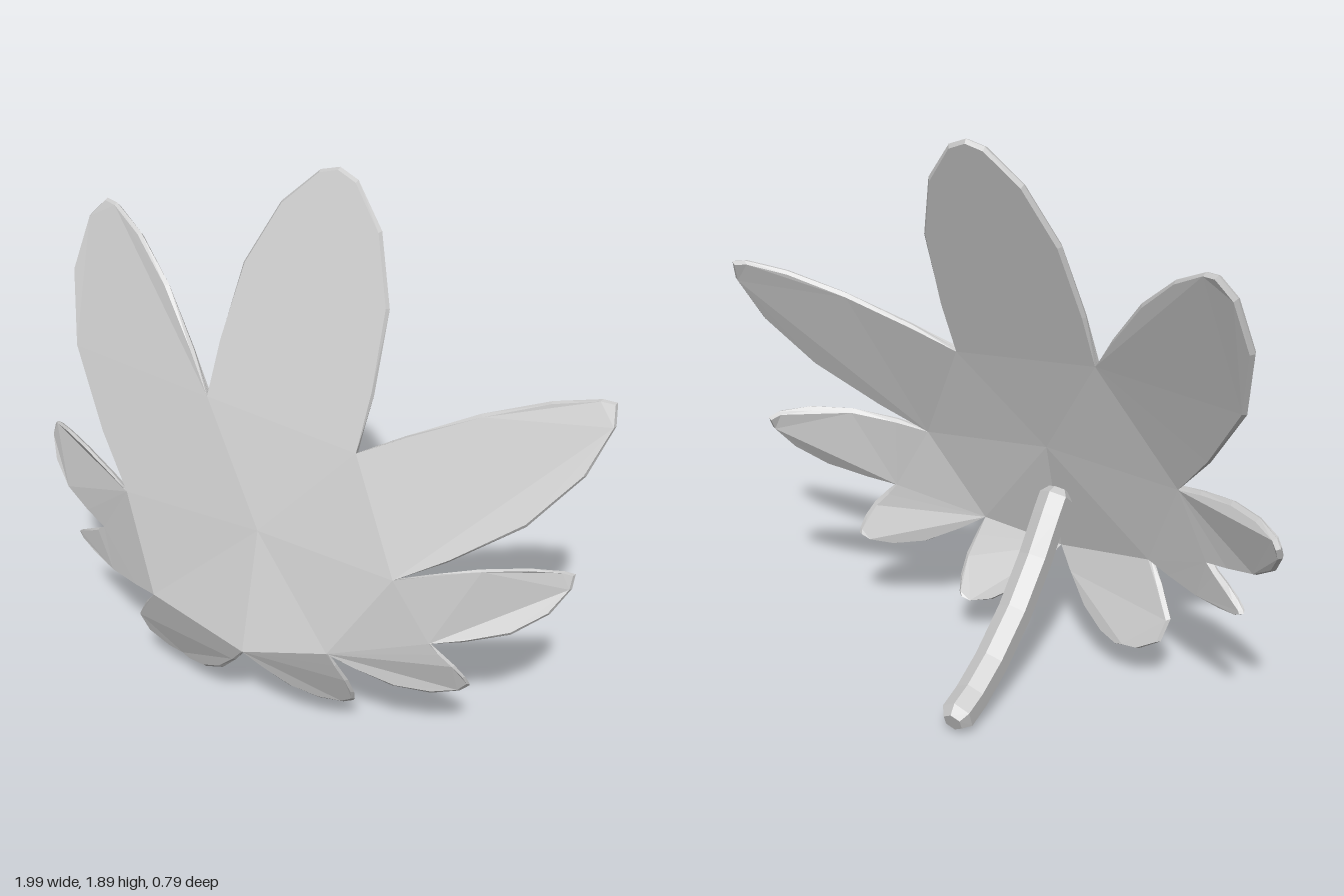
import * as THREE from 'three';

const THICK = 0.024;
const BEVEL = 0.01;

// Front vertex -> vertex lower in the leaf, along the leaf's rough normal
function sink([x, y, z], depth = THICK) {
  const n = new THREE.Vector3(0.5 * x, 0.38, 0.9).normalize().multiplyScalar(depth);
  return [x - n.x, y - n.y, z - n.z];
}

// Unshared corners give flat facets
function meshFrom(name, triangles, material) {
  const geometry = new THREE.BufferGeometry();
  geometry.setAttribute('position', new THREE.Float32BufferAttribute(triangles.flat(2), 3));
  geometry.computeVertexNormals();
  const mesh = new THREE.Mesh(geometry, material);
  mesh.name = name;
  return mesh;
}

// Notches between lobes, counter-clockwise from the bottom
const notches = [
  [-0.03, 0.37, 0.39], [0.25, 0.43, 0.335], [0.56, 0.52, 0.235],
  [0.44, 0.74, 0.26], [0.26, 1.1, 0.17], [-0.27, 1.15, 0.17],
  [-0.54, 0.75, 0.255], [-0.67, 0.54, 0.215], [-0.4, 0.43, 0.335],
];
const centre = [-0.03, 0.78, 0.278];

// Each lobe: name, tip, how far its two edges bulge out from straight, forward arch
const lobes = [
  ['lowerLeftLobe', [0.28, 0.155, 0.21], 0.066, 0.03, 0.01],
  ['smallLeftLobe', [0.67, 0.33, 0.15], 0.066, 0.028, 0.02],
  ['middleLeftLobe', [0.94, 0.77, 0], 0.082, 0.047, 0.035],
  ['upperLeftLobe', [0.99, 1.355, -0.09], 0.122, 0.048, 0.01],
  ['topLobe', [0.05, 1.9, -0.1], 0.135, 0.12, 0],
  ['upperRightLobe', [-0.8, 1.61, -0.09], 0.07, 0.175, 0.01],
  ['middleRightLobe', [-1, 0.75, 0.01], 0.05, 0.078, 0.03],
  ['smallRightLobe', [-0.835, 0.425, 0.14], 0.005, 0.037, 0.01],
  ['lowerRightLobe', [-0.36, 0.13, 0.24], 0.14, 0.062, 0.01],
];

// Distance along an edge and share of its bulge there
const edgeProfile = [[0.2, 0.5], [0.5, 1], [0.77, 0.92], [0.95, 0.42]];

// Edge points from a notch to the tip, bulging to one side and arched off the lobe's plane
function lobeEdge(from, tip, bulge, side, arch, plane) {
  const dx = tip[0] - from[0], dy = tip[1] - from[1], length = Math.hypot(dx, dy);
  const { normal, constant } = plane;
  return edgeProfile.map(([t, share]) => {
    const out = side * bulge * share / length;
    const x = from[0] + dx * t + dy * out, y = from[1] + dy * t - dx * out;
    return [x, y, arch * share - (normal.x * x + normal.y * y + constant) / normal.z];
  });
}

function buildLobe([name, tip, bulgeA, bulgeB, arch], a, b, material) {
  const plane = new THREE.Plane().setFromCoplanarPoints(
    ...[a, b, tip].map((p) => new THREE.Vector3(...p)));
  const edgeA = lobeEdge(a, tip, bulgeA, 1, arch, plane);
  const edgeB = lobeEdge(b, tip, bulgeB, -1, arch, plane);
  const outline = [a, ...edgeA, tip, ...edgeB.reverse(), b];

  // faces are drawn in from the outline, except at the shared notches
  const middle = new THREE.Vector3(...a).add(new THREE.Vector3(...b)).multiplyScalar(0.5)
    .lerp(new THREE.Vector3(...tip), 0.55);
  const front = outline.map((p) => {
    if (p === a || p === b) return p;
    const v = new THREE.Vector3(...p);
    return v.lerp(middle, BEVEL / v.distanceTo(middle)).toArray();
  });
  const rim = outline.map((p) => sink(p, THICK / 2));
  const back = front.map((p) => sink(p));

  const triangles = [];
  const flat = front.map(([x, y]) => new THREE.Vector2(x, y));
  for (const [i, j, k] of THREE.ShapeUtils.triangulateShape(flat, [])) {
    triangles.push([front[i], front[j], front[k]], [back[i], back[k], back[j]]);
  }
  for (const [upper, lower] of [[front, rim], [rim, back]]) {
    for (let i = 0; i < outline.length - 1; i++) {
      triangles.push([upper[i], lower[i], lower[i + 1]], [upper[i], lower[i + 1], upper[i + 1]]);
    }
  }
  return meshFrom(name, triangles, material);
}

// Palm: a fan around the centre, with one folded-back panel on each side
function buildPalm(material) {
  const ring = [0, 1, 3, 4, 5, 6, 8].map((i) => notches[i]);
  const panels = ring.map((p, i) => [centre, p, ring[(i + 1) % ring.length]]);
  panels.push(notches.slice(1, 4), notches.slice(6, 9));
  const triangles = panels.flatMap(([p, q, r]) => [[p, q, r], [sink(p), sink(r), sink(q)]]);
  return meshFrom('palm', triangles, material);
}

// Stem: six-sided rings along a curve in the yz plane, narrowed at both ends
function buildStem(material) {
  const curve = new THREE.CatmullRomCurve3(
    [[0.61, 0.29], [0.5, 0.2], [0.345, 0.08], [0.205, -0.08], [0.105, -0.23], [0.045, -0.385]]
      .map(([y, z]) => new THREE.Vector3(-0.06, y, z)));
  const steps = 8;
  const rings = Array.from({ length: steps + 1 }, (_, i) => {
    const t = (1 - Math.cos(Math.PI * i / steps)) / 2;
    const radius = i % steps === 0 ? 0.035 : 0.058;
    const mid = curve.getPoint(t), dir = curve.getTangent(t);
    return Array.from({ length: 6 }, (_, k) => {
      const s = Math.sin(k * Math.PI / 3) * radius, c = Math.cos(k * Math.PI / 3) * radius;
      return [mid.x + s, mid.y - dir.z * c, mid.z + dir.y * c];
    });
  });
  const triangles = [];
  for (let j = 0; j < steps; j++) {
    const near = rings[j], far = rings[j + 1];
    for (let k = 0; k < 6; k++) {
      const m = (k + 1) % 6;
      triangles.push([near[k], far[m], far[k]], [near[k], near[m], far[m]]);
    }
  }
  // end caps
  const first = rings[0], last = rings[steps];
  for (let k = 1; k < 5; k++) {
    triangles.push([first[0], first[k + 1], first[k]], [last[0], last[k], last[k + 1]]);
  }
  return meshFrom('stem', triangles, material);
}

export function createModel() {
  const grey = new THREE.MeshStandardMaterial({ color: 0xcccccc });
  grey.name = 'light grey';

  const model = new THREE.Group();
  model.name = 'lobedLeaf';
  model.add(buildPalm(grey));
  lobes.forEach((lobe, i) => {
    model.add(buildLobe(lobe, notches[i], notches[(i + 1) % notches.length], grey));
  });
  model.add(buildStem(grey));
  return model;
}
